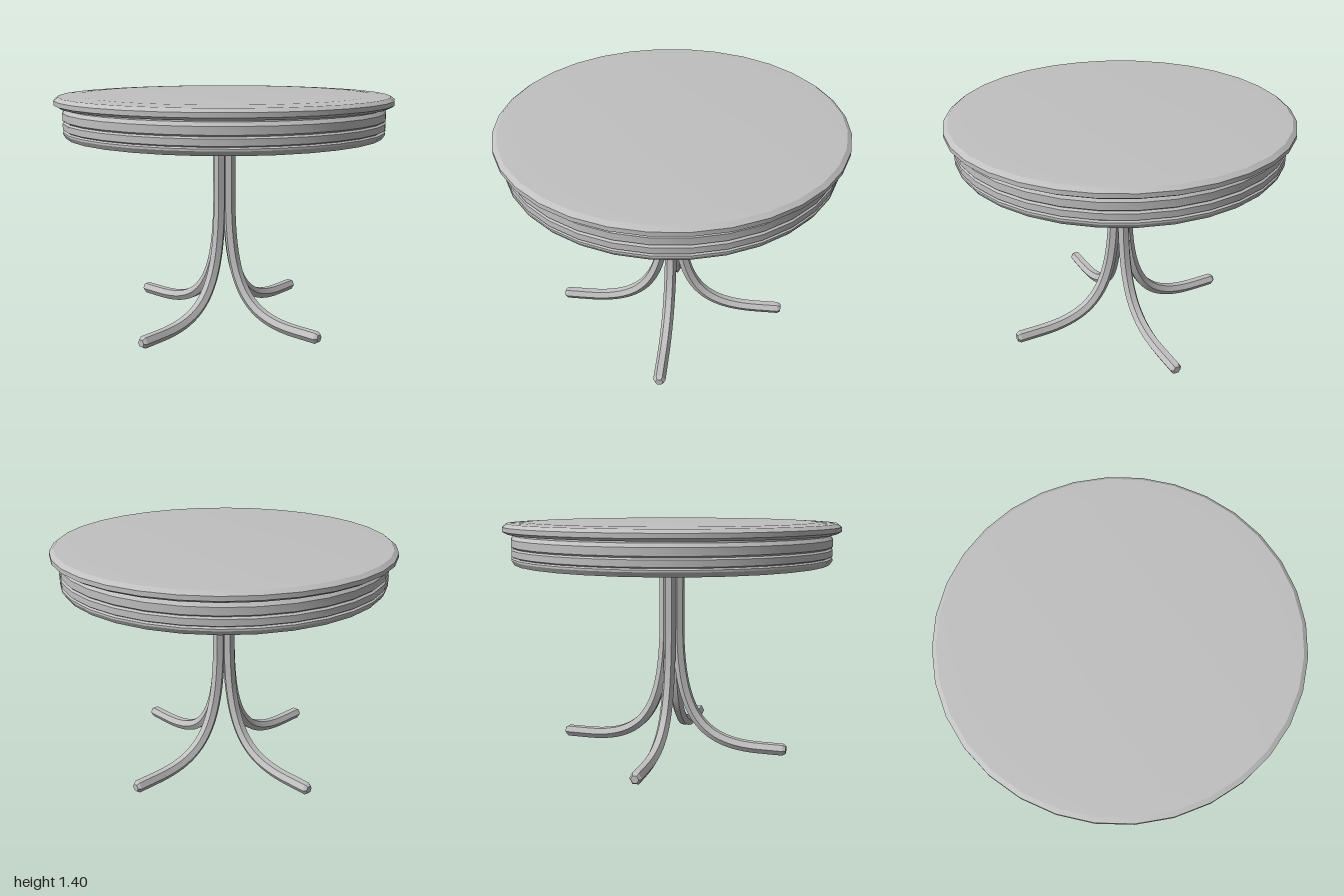
import * as THREE from 'three';
import { toCreasedNormals } from 'three/addons/utils/BufferGeometryUtils.js';

const SIDES = 32;
const LEG_R = 0.037;
const LEG_Y = 0.034;

// Turned part from [radius, height] pairs listed bottom to top
function turned(name, profile, material) {
  const points = profile.map(([r, y]) => new THREE.Vector2(r, y));
  const mesh = new THREE.Mesh(toCreasedNormals(new THREE.LatheGeometry(points, SIDES), 0.5), material);
  mesh.name = name;
  return mesh;
}

// Centre line of a leg: straight post, sweeping curve, flat foot
function legPath() {
  const v = (x, y) => new THREE.Vector3(x, y, 0);
  const path = new THREE.CurvePath();
  path.add(new THREE.LineCurve3(v(0.042, 1.17), v(0.042, 0.75)));
  path.add(new THREE.CubicBezierCurve3(v(0.042, 0.75), v(0.05, 0.2), v(0.2, LEG_Y), v(0.56, LEG_Y)));
  path.add(new THREE.LineCurve3(v(0.56, LEG_Y), v(0.703, LEG_Y)));
  return path;
}

export function createModel() {
  const model = new THREE.Group();
  model.name = 'roundTable';
  const grey = new THREE.MeshStandardMaterial({ color: 0xc0c0c0 });
  grey.name = 'grey';

  // Slightly domed top with a bevelled rim
  model.add(turned('tableTop', [
    [0, 1.335], [0.975, 1.335], [1, 1.35], [1, 1.375], [0.975, 1.394], [0.86, 1.4], [0, 1.402],
  ], grey));

  // Apron with three bands separated by grooves
  model.add(turned('apron', [
    [0, 1.16], [0.938, 1.16], [0.954, 1.185], [0.954, 1.196], [0.942, 1.203],
    [0.954, 1.21], [0.954, 1.245], [0.942, 1.254],
    [0.954, 1.263], [0.954, 1.305], [0.938, 1.325], [0.938, 1.336],
  ], grey));

  // Four hexagonal legs pointing along the axes
  const legGeometry = toCreasedNormals(new THREE.TubeGeometry(legPath(), 48, LEG_R, 6, false), 0.6);
  const tipGeometry = toCreasedNormals(new THREE.CylinderGeometry(0.024, LEG_R, 0.018, 6), 0.3);
  tipGeometry.rotateZ(-Math.PI / 2);
  tipGeometry.translate(0.712, LEG_Y, 0);
  for (let i = 0; i < 4; i++) {
    const leg = new THREE.Group();
    leg.name = 'leg' + (i + 1);
    const bar = new THREE.Mesh(legGeometry, grey);
    bar.name = 'legBar';
    const tip = new THREE.Mesh(tipGeometry, grey);
    tip.name = 'legTip';
    leg.add(bar, tip);
    leg.rotation.y = i * Math.PI / 2;
    model.add(leg);
  }
  return model;
}
